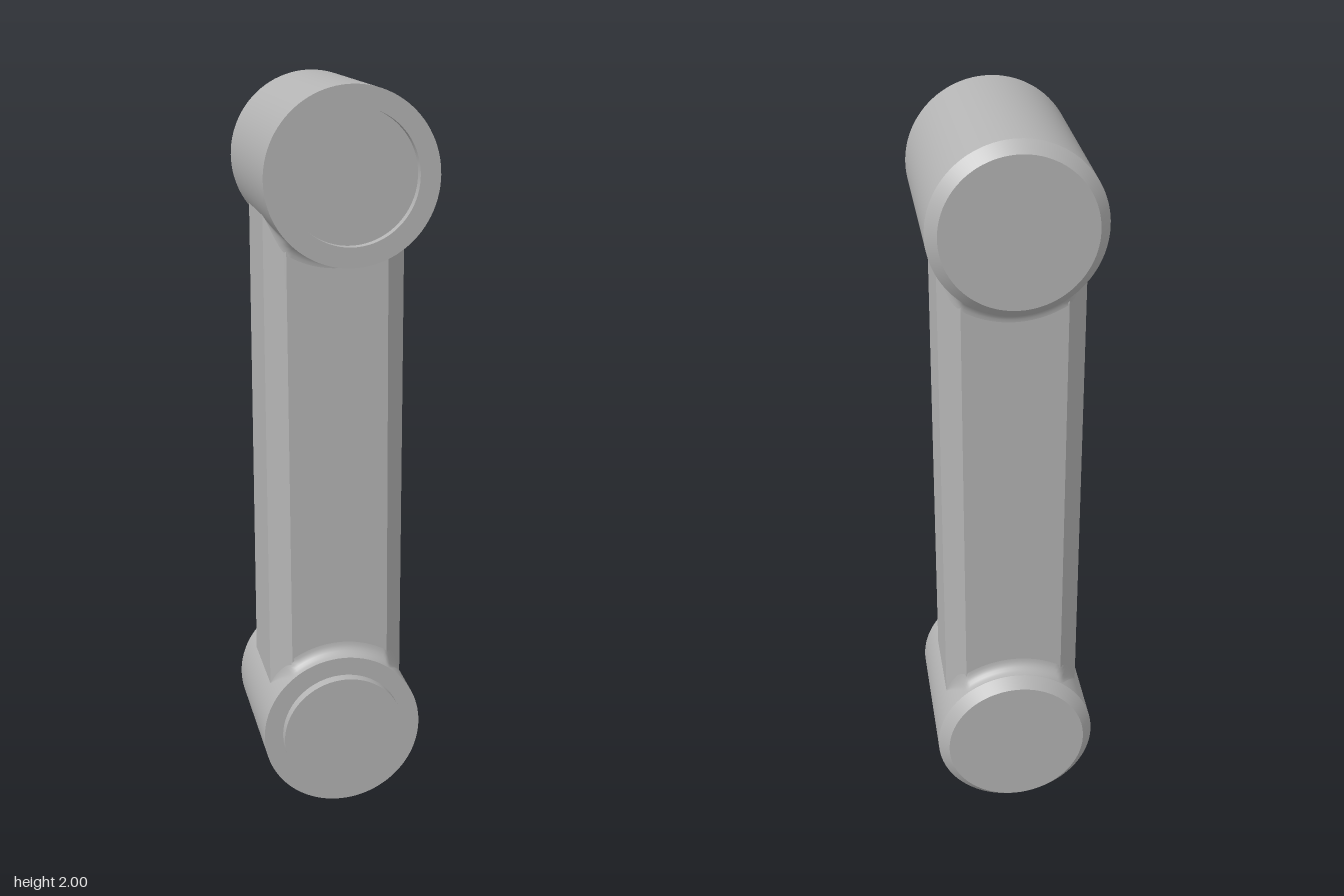
import * as THREE from 'three';
import { toCreasedNormals } from 'three/addons/utils/BufferGeometryUtils.js';

const R = 0.222, TOP = 1.778, LOW = 0.222;
const HALF = 0.188, FLAT = 0.135, BACK = -0.206;

// z of the arm's front face and of its side chamfer edge at height y
const frontZ = y => 0.152 - 0.0325 * y;
const frontEdgeZ = y => 0.087 - 0.018 * y;

export function createModel() {
  const gray = new THREE.MeshStandardMaterial({ color: 0xb4b4b4, side: THREE.DoubleSide });
  gray.name = 'plainGray';
  const model = new THREE.Group();
  model.name = 'linkArm';

  function add(name, geometry, y = 0) {
    const mesh = new THREE.Mesh(geometry, gray);
    mesh.name = name;
    mesh.position.y = y;
    model.add(mesh);
  }

  // Joint turned around the z axis, profile as [radius, z] from back to front
  function joint(name, y, front) {
    const profile = [[0, -0.27], [0.194, -0.27], [R, -0.241], ...front];
    const geo = new THREE.LatheGeometry(profile.map(p => new THREE.Vector2(...p)), 96);
    geo.rotateX(Math.PI / 2);
    add(name, toCreasedNormals(geo, 0.5), y);
  }
  joint('upperJoint', TOP, [[R, 0.27], [0.17, 0.27], [0.17, 0.245], [0, 0.245]]);
  joint('lowerJoint', LOW, [[R, 0.173], [0.17, 0.173], [0.17, 0.202], [0, 0.202]]);

  // Grid of points turned into a surface
  function surface(nu, nv, point) {
    const pos = [], index = [];
    for (let i = 0; i <= nu; i++) {
      for (let j = 0; j <= nv; j++) {
        pos.push(...point(i / nu, j / nv));
        if (i < nu && j < nv) {
          const a = i * (nv + 1) + j, b = a + nv + 1;
          index.push(a, b, a + 1, b, b + 1, a + 1);
        }
      }
    }
    const geo = new THREE.BufferGeometry();
    geo.setAttribute('position', new THREE.Float32BufferAttribute(pos, 3));
    geo.setIndex(index);
    geo.computeVertexNormals();
    return geo;
  }

  // Chamfered arm tapering towards the top, its ends hidden in the joints
  const section = y => [
    [FLAT, frontZ(y)], [HALF, frontEdgeZ(y)], [HALF, BACK + 0.052], [FLAT, BACK],
    [-FLAT, BACK], [-HALF, BACK + 0.052], [-HALF, frontEdgeZ(y)], [-FLAT, frontZ(y)],
  ];
  const arm = surface(8, 1, (u, v) => {
    const y = v ? TOP : LOW;
    const [x, z] = section(y)[Math.round(u * 8) % 8];
    return [x, y, z];
  });
  add('arm', toCreasedNormals(arm, 0.3));

  // Concave fillets where the arm's front and back meet the joints
  function fillet(name, cy, dir, side) {
    const sweep = Math.asin(HALF / R);
    add(name, surface(48, 6, (u, v) => {
      const t = (u * 2 - 1) * sweep, a = v * Math.PI / 2;
      const over = Math.max(0, (Math.abs(R * Math.sin(t)) - FLAT) / (HALF - FLAT));
      const s = 0.032 * (1 - over);
      const r = R + s * (1 - Math.cos(a));
      const x = r * Math.sin(t), y = cy + dir * r * Math.cos(t);
      const k = Math.min(1, Math.max(0, (Math.abs(x) - FLAT) / (HALF - FLAT)));
      const face = side > 0
        ? frontZ(y) + (frontEdgeZ(y) - frontZ(y)) * k
        : BACK + 0.052 * k;
      return [x, y, face + side * s * (1 - Math.sin(a))];
    }));
  }
  for (const [word, side] of [['Front', 1], ['Back', -1]]) {
    fillet('upper' + word + 'Fillet', TOP, -1, side);
    fillet('lower' + word + 'Fillet', LOW, 1, side);
  }
  return model;
}
